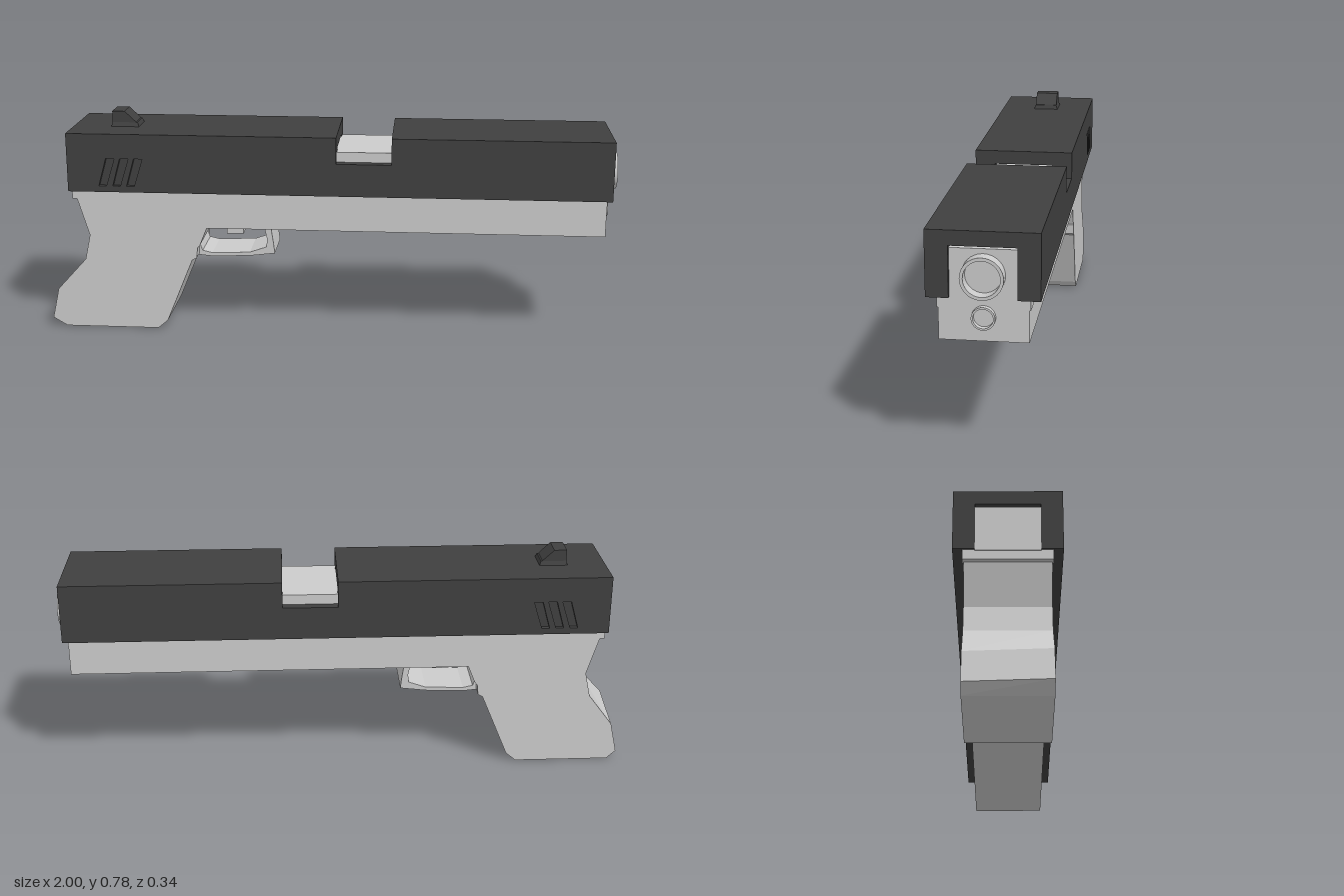
import * as THREE from 'three';

const grey = new THREE.MeshStandardMaterial({ color: 0xcccccc, flatShading: true });
const dark = new THREE.MeshStandardMaterial({ color: 0x404040, flatShading: true });
const smoothGrey = new THREE.MeshStandardMaterial({ color: 0xcccccc });

export function createModel() {
  const model = new THREE.Group();

  const add = (name, geometry, material) => {
    const mesh = new THREE.Mesh(geometry, material);
    mesh.name = name;
    model.add(mesh);
    return mesh;
  };
  // Box given by its extents along x and y, and its half width in z
  const box = (name, x0, x1, y0, y1, halfZ, material) => add(name,
    new THREE.BoxGeometry(x1 - x0, y1 - y0, halfZ * 2)
      .translate((x0 + x1) / 2, (y0 + y1) / 2, 0), material);
  const toPoints = (list) => list.map(([x, y]) => new THREE.Vector2(x, y));
  // Side profile extruded between two z values
  const plate = (outline, z0, z1, holes = []) => {
    const shape = new THREE.Shape(toPoints(outline));
    shape.holes = holes.map((h) => new THREE.Path(toPoints(h)));
    return new THREE.ExtrudeGeometry(shape, { depth: z1 - z0, bevelEnabled: false }).translate(0, 0, z0);
  };

  // Frame and grip in one profile, the heel slightly skewed
  const frame = plate([
    [-0.89, 0.48], [-0.85, 0.345], [-0.87, 0.255], [-0.975, 0.14], [-1, 0.03], [-0.95, 0],
    [-0.615, 0], [-0.58, 0.03], [-0.485, 0.26], [-0.468, 0.27], [-0.465, 0.305],
    [-0.455, 0.318], [-0.43, 0.38], [0.96, 0.38], [0.96, 0.48],
  ], -0.135, 0.135);
  const pos = frame.attributes.position;
  for (let i = 0; i < pos.count; i++) {
    if (pos.getX(i) < -0.96 && pos.getZ(i) < 0) pos.setX(i, pos.getX(i) + 0.018);
  }
  frame.computeVertexNormals();
  add('frameAndGrip', frame, grey);
  box('rail', -0.905, 0.96, 0.48, 0.516, 0.139, grey);
  box('innerBlock', -0.91, 0.96, 0.51, 0.665, 0.101, grey);
  box('chamber', 0.02, 0.23, 0.6, 0.665, 0.138, grey);

  // Slide side walls with the ejection notch and slanted grip grooves
  const wall = [[-0.91, 0.515], [0.975, 0.515], [0.975, 0.722], [0.22, 0.722],
    [0.22, 0.63], [0.03, 0.63], [0.03, 0.722], [-0.91, 0.722]];
  const grooves = [0, 1, 2].map((i) => [[-0.8, 0.537], [-0.773, 0.537], [-0.742, 0.635], [-0.772, 0.635]]
    .map(([x, y]) => [x + i * 0.049, y]));
  for (const side of [1, -1]) {
    const [a, b, c] = [0.101, 0.155, 0.17].map((z) => z * side);
    add('slideWall', plate(wall, Math.min(a, b), Math.max(a, b)), dark);
    add('slideGroovedSkin', plate(wall, Math.min(b, c), Math.max(b, c), grooves), dark);
  }
  // Slide roof either side of the notch
  box('slideRoofRear', -0.91, 0.03, 0.675, 0.722, 0.101, dark);
  box('slideRoofFront', 0.22, 0.975, 0.675, 0.722, 0.101, dark);

  // Rear sight: flared foot and sloped block
  const foot = new THREE.BoxGeometry(0.1, 0.016, 0.094).translate(-0.727, 0.729, 0);
  const fp = foot.attributes.position;
  for (let i = 0; i < fp.count; i++) {
    if (fp.getY(i) > 0.73) fp.setXYZ(i, -0.727 + (fp.getX(i) + 0.727) * 0.88, fp.getY(i), fp.getZ(i) * 0.87);
  }
  foot.computeVertexNormals();
  add('sightFoot', foot, dark);
  add('sight', plate([[-0.772, 0.73], [-0.683, 0.73], [-0.69, 0.74], [-0.728, 0.776], [-0.772, 0.776]], -0.041, 0.041), dark);

  // Hollow muzzle and guide rod tubes
  const tube = (name, y, outer, inner, x0, x1) => {
    // Separate profile runs keep the rim edges crisp
    const runs = [[[outer, x0], [outer, x1]], [[outer, x1], [inner, x1]], [[inner, x1], [inner, x0]]];
    for (const run of runs) {
      const g = new THREE.LatheGeometry(toPoints(run), 32).rotateZ(-Math.PI / 2).translate(0, y, 0);
      add(name, g, smoothGrey);
    }
  };
  tube('muzzle', 0.585, 0.065, 0.055, 0.95, 1);
  tube('guideRod', 0.455, 0.036, 0.03, 0.95, 0.977);

  // Trigger guard and trigger
  add('triggerGuard', plate([
    [-0.49, 0.268], [-0.42, 0.261], [-0.285, 0.266], [-0.195, 0.277], [-0.2, 0.32], [-0.21, 0.385],
    [-0.235, 0.385], [-0.222, 0.33], [-0.225, 0.3], [-0.285, 0.279], [-0.42, 0.274],
    [-0.455, 0.282], [-0.465, 0.31], [-0.49, 0.31],
  ], -0.085, 0.085), grey);
  add('trigger', plate([
    [-0.37, 0.385], [-0.372, 0.335], [-0.312, 0.335], [-0.312, 0.355], [-0.295, 0.385],
  ], -0.045, 0.045), grey);

  return model;
}
